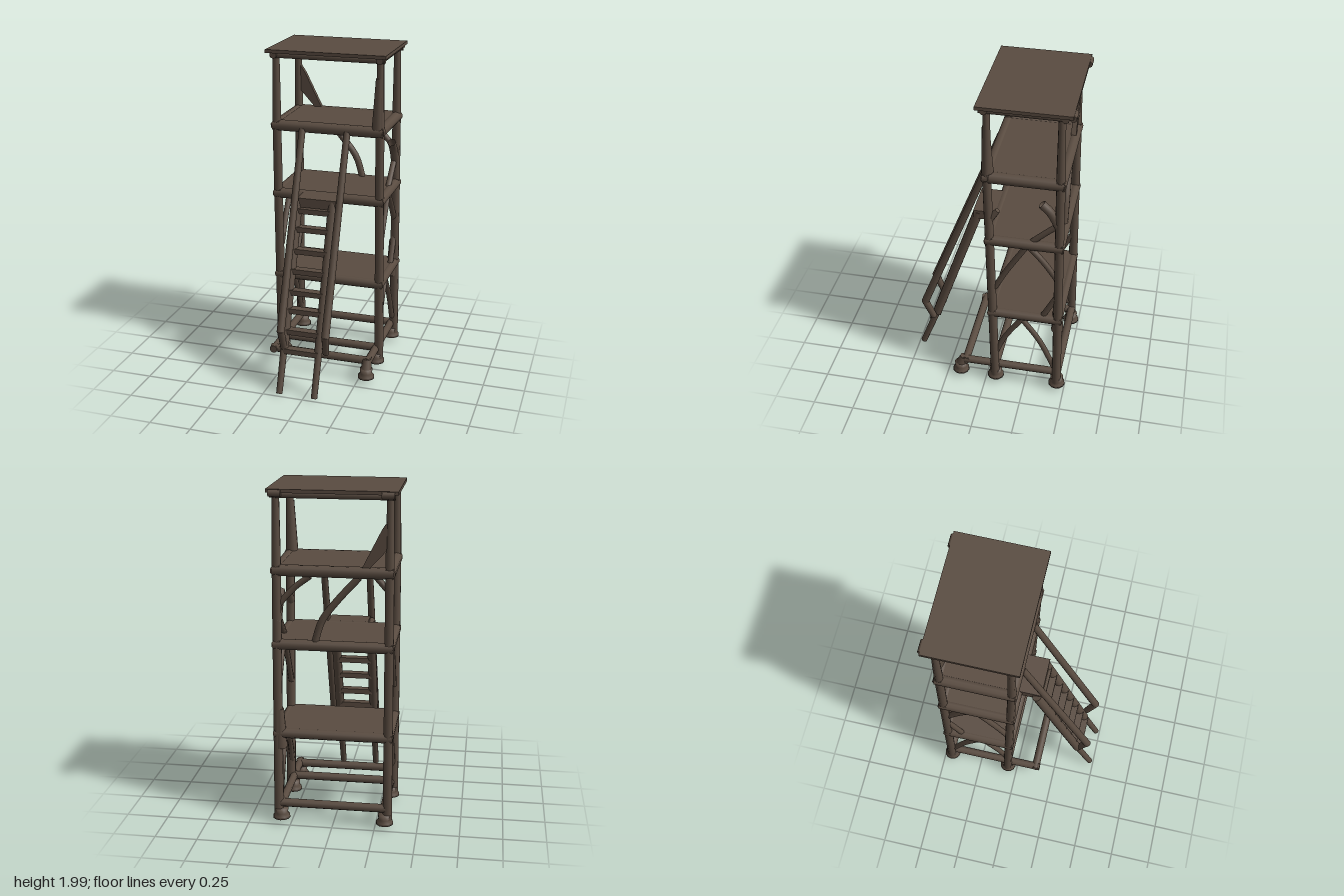
import * as THREE from 'three';

const wood = new THREE.MeshStandardMaterial({ color: 0x5a4c41 });
wood.name = 'dark weathered wood';
wood.side = THREE.DoubleSide;

const V = (p) => new THREE.Vector3(...p);

export function createModel() {
  const root = new THREE.Group();
  root.name = 'watchtower';

  const add = (name, geometry, pos = [0, 0, 0]) => {
    const m = new THREE.Mesh(geometry, wood);
    m.name = name;
    m.position.set(...pos);
    root.add(m);
    return m;
  };
  // Straight tapered log between two points
  const log = (name, a, b, r1, r2 = r1, sides = 10) => {
    const A = V(a), B = V(b), d = B.clone().sub(A);
    const m = add(name, new THREE.CylinderGeometry(r2, r1, d.length(), sides));
    m.position.copy(A).add(B).multiplyScalar(0.5);
    m.quaternion.setFromUnitVectors(new THREE.Vector3(0, 1, 0), d.normalize());
    return m;
  };
  // Bent branch through several points
  const branch = (name, pts, r) => {
    const curve = new THREE.CatmullRomCurve3(pts.map(V));
    return add(name, new THREE.TubeGeometry(curve, 12, r, 7));
  };
  const box = (name, x0, x1, y0, y1, z0, z1) =>
    add(name, new THREE.BoxGeometry(x1 - x0, y1 - y0, z1 - z0),
      [(x0 + x1) / 2, (y0 + y1) / 2, (z0 + z1) / 2]);

  // Posts lean slightly inward as they rise
  const zf = (y) => -0.062 + Math.min(y, 1.55) * 0.032;
  const zb = (y) => -0.452 + y * 0.016;
  const px = (y) => 0.324 - y * 0.004;
  const footProfile = [[0, 0], [0.052, 0], [0.05, 0.014], [0.037, 0.03], [0.04, 0.06], [0, 0.062]]
    .map((p) => new THREE.Vector2(...p));
  const foot = (x, z) => add('foot', new THREE.LatheGeometry(footProfile, 12), [x, 0.035, z]);

  for (const s of [-1, 1]) {
    for (const z of [zf, zb]) {
      log('lowerPost', [s * px(0), 0.06, z(0)], [s * px(1.55), 1.55, z(1.55)], 0.028, 0.026);
      log('upperPost', [s * px(1.55), 1.52, z(1.55)], [s * px(2), 1.96, z(2)], 0.027, 0.02);
      foot(s * 0.308, z(0));
    }
  }
  foot(0.302, 0.165);

  // Decks framed by round beams
  for (const [y, r] of [[0.57, 0.029], [1.11, 0.031], [1.54, 0.033]]) {
    const f = zf(y), b = zb(y), x = px(y);
    for (const z of [f, b]) log('crossBeam', [-x - 0.022, y, z], [x + 0.022, y, z], r);
    for (const s of [-1, 1]) log('sideBeam', [s * x, y, f + 0.022], [s * x, y, b - 0.022], r);
    box('deck', -x, x, y + 0.004, y + 0.026, b, f);
  }
  box('landing', -0.15, 0.09, 1.08, 1.137, -0.02, 0.12);

  // Base frame reaching out under the ladder
  for (const z of [zb(0), zf(0), 0.13]) log('baseCrossBeam', [-0.325, 0.13, z], [0.325, 0.13, z], 0.025);
  for (const s of [-1, 1]) log('baseSideBeam', [s * 0.305, 0.13, zb(0)], [s * 0.305, 0.13, 0.157], 0.024);
  log('baseStub', [0.302, 0.08, 0.165], [0.302, 0.145, 0.145], 0.036, 0.025);

  // Roof sheet on a log frame
  box('roof', -0.365, 0.36, 1.98, 2.0, -0.485, 0.045);
  for (const z of [-0.44, 0.0]) log('roofCrossBeam', [-0.345, 1.967, z], [0.345, 1.967, z], 0.021);
  for (const s of [-1, 1]) {
    log('roofSideBeam', [s * 0.32, 1.967, -0.455], [s * 0.32, 1.967, 0.03], 0.021);
    log('roofKnob', [s * 0.31 - 0.035, 1.978, -0.48], [s * 0.31 + 0.035, 1.978, -0.48], 0.02);
  }

  // Ladder
  const ladderZ = (y) => y < 0.28 ? 0.475 - 0.36 * y : 0.374 - (y - 0.28) * 0.335;
  for (const x of [-0.153, 0.066]) {
    log('ladderFoot', [x, 0.012, ladderZ(0)], [x, 0.3, ladderZ(0.3)], 0.019, 0.021);
    const stringer = log('ladderStringer', [x, 0.27, ladderZ(0.27)], [x, 1.12, ladderZ(1.12)], 0.027, 0.029);
    stringer.name = 'ladderStringer';
  }
  for (const y of [0.26, 0.37, 0.49, 0.595, 0.715, 0.83, 0.955, 1.06]) {
    const z = ladderZ(y);
    box('rung', -0.15, 0.063, y - 0.016, y + 0.016, z - 0.025, z + 0.025);
  }
  // Handrails bend back to the ladder at the bottom
  for (const x of [-0.152, 0.124]) {
    log('handrail', [x, 0.4, 0.437], [x, 1.53, 0.005], 0.024, 0.02);
    log('handrailEnd', [x, 0.41, 0.437], [x - (x > 0 ? 0.012 : 0), 0.275, 0.385], 0.023, 0.02);
  }

  // Natural branch braces on both sides
  for (const s of [-1, 1]) {
    const x = s * 0.315;
    branch('lowerBrace', [[x, 0.22, -0.06], [x, 0.37, -0.12], [x, 0.55, -0.235]], 0.017);
    branch('lowerBrace', [[x, 0.55, -0.215], [x, 0.38, -0.335], [x, 0.18, -0.43]], 0.017);
    branch('middleBrace', [[x, 0.76, -0.06], [x, 0.88, -0.12], [x, 1.1, -0.25]], 0.018);
    branch('middleBrace', [[x, 1.1, -0.25], [x, 1.0, -0.34], [x, 0.86, -0.44]], 0.018);
    branch('shortBrace', [[x, 0.58, -0.35], [x, 0.66, -0.39], [x, 0.76, -0.44]], 0.018);
  }
  branch('upperBrace', [[0.31, 1.09, -0.24], [0.31, 1.17, -0.32], [0.31, 1.27, -0.43]], 0.018);
  branch('brokenBranch', [[0.315, 1.4, -0.325], [0.315, 1.35, -0.375], [0.315, 1.24, -0.435]], 0.026);
  branch('backBrace', [[-0.145, 1.51, -0.42], [-0.02, 1.37, -0.425], [0.06, 1.26, -0.43], [0.105, 1.12, -0.43]], 0.021);
  branch('backBrace', [[0.13, 1.51, -0.42], [0.22, 1.44, -0.42], [0.31, 1.34, -0.425]], 0.018);
  log('cornerBrace', [-0.31, 1.44, -0.42], [-0.24, 1.52, -0.42], 0.018);

  // Gusset on the upper back post, and flared foot of the upper front post
  const wing = new THREE.Shape([[-0.31, 1.84], [-0.27, 1.78], [-0.225, 1.69], [-0.165, 1.57], [-0.21, 1.57], [-0.31, 1.68]]
    .map((p) => new THREE.Vector2(...p)));
  add('gusset', new THREE.ExtrudeGeometry(wing, { depth: 0.03, bevelEnabled: false }), [0, 0, -0.44]);
  log('postFlare', [0.305, 1.56, -0.015], [0.312, 1.86, -0.008], 0.036, 0.021);
  log('postKnot', [0.312, 1.54, -0.015], [0.345, 1.55, -0.005], 0.035, 0.022);
  log('postBulge', [0.305, 0.48, -0.44], [0.312, 0.72, -0.44], 0.036, 0.026);
  log('postStub', [0.315, 1.26, -0.03], [0.315, 1.32, -0.075], 0.024, 0.016);

  return root;
}
